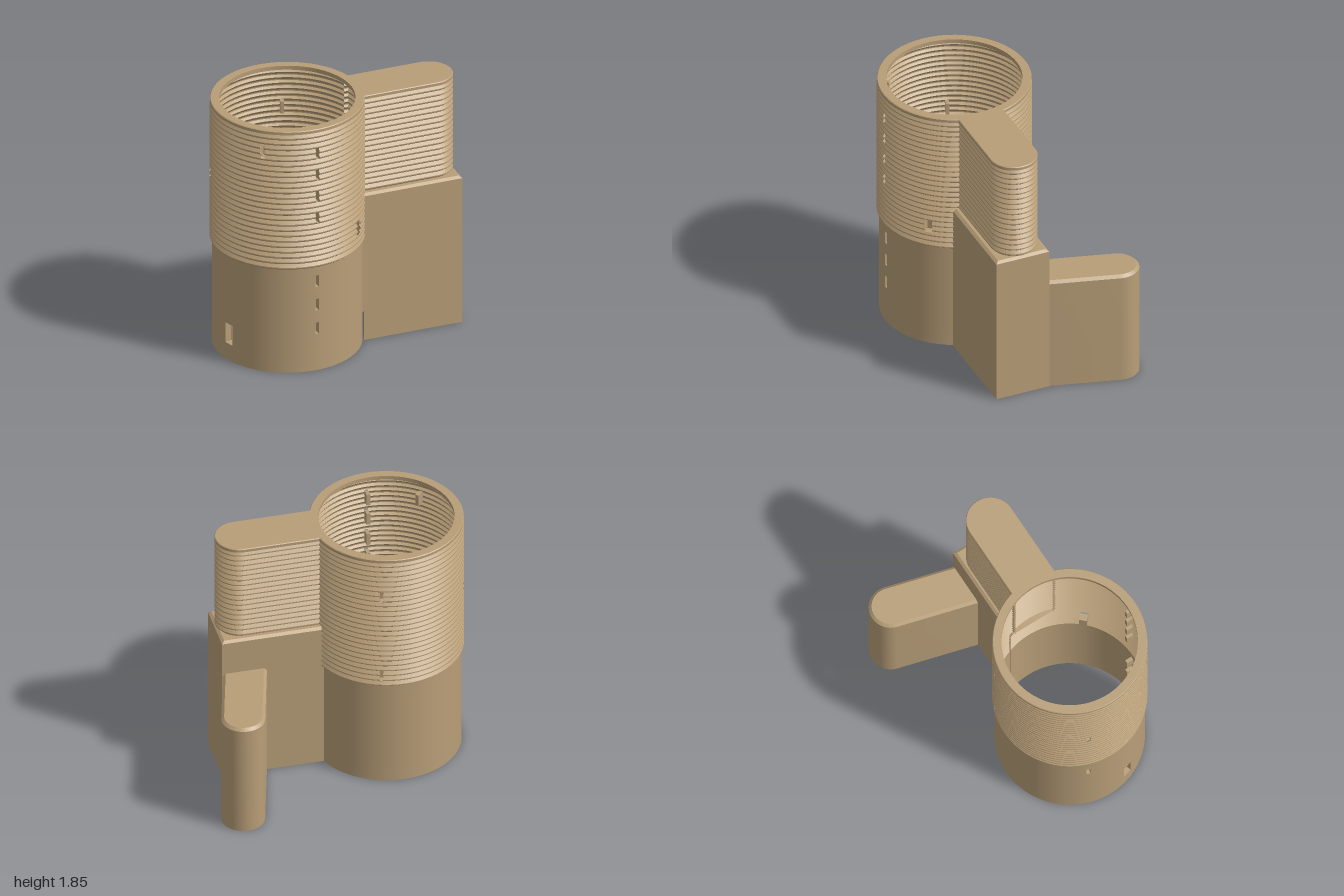
import * as THREE from 'three';
import { toCreasedNormals } from 'three/addons/utils/BufferGeometryUtils.js';

const tan = new THREE.MeshStandardMaterial({ color: 0xb89e78, side: THREE.DoubleSide });
tan.name = 'sandstone';

const CX = -0.475; // tower axis
const RIB_START = 0.79, RIB_END = 1.82, RIBS = 25;
const PITCH = (RIB_END - RIB_START) / RIBS;

// rib bulge across one pitch, 0 to 1
const ribShape = (t) => (t < 0.3 ? t / 0.3 : t < 0.5 ? 1 : (1 - t) / 0.5);
const ribOut = (y) => {
  if (y <= RIB_START || y >= RIB_END) return 0;
  const t = (y - RIB_START) / PITCH;
  return 0.016 * ribShape(t - Math.floor(t));
};
const ribLevels = () => {
  const ys = [];
  for (let i = 0; i < RIBS; i++) for (const t of [0, 0.3, 0.5]) ys.push(RIB_START + (i + t) * PITCH);
  return ys;
};

// skin between successive rings of points; keep() may leave cells open
function loft(rings, keep = () => true) {
  const pos = [];
  for (let i = 0; i < rings.length - 1; i++) {
    for (let j = 0; j < rings[i].length - 1; j++) {
      if (!keep(i, j)) continue;
      const [a, b, c, d] = [rings[i][j], rings[i][j + 1], rings[i + 1][j + 1], rings[i + 1][j]];
      for (const p of [a, d, b, b, d, c]) pos.push(p.x, p.y, p.z);
    }
  }
  const g = new THREE.BufferGeometry();
  g.setAttribute('position', new THREE.Float32BufferAttribute(pos, 3));
  return toCreasedNormals(g, 0.5);
}

function add(parent, geometry, name) {
  const mesh = new THREE.Mesh(geometry, tan);
  mesh.name = name;
  parent.add(mesh);
  return mesh;
}

// openings: azimuth from +x towards +z in degrees, centre height, width, height
const openings = [];
for (const y of [1.66, 1.5, 1.33, 1.17, 0.68, 0.5, 0.32]) openings.push([104, y, 0.026, 0.09]);
for (const y of [1.53, 0.87]) openings.push([303, y, 0.026, 0.09]);
for (const y of [1.28, 0.62]) openings.push([213.5, y, 0.026, 0.09]);
openings.push([146, 1.68, 0.026, 0.09], [59, 0.955, 0.055, 0.11], [178, 0.2, 0.07, 0.15]);

function buildTower(parent) {
  const holes = openings.map(([deg, y, w, h]) => {
    const a = THREE.MathUtils.degToRad(deg), half = w / 2 / 0.515;
    return { a0: a - half, a1: a + half, y0: y - h / 2, y1: y + h / 2 };
  });
  const sorted = (list) => [...new Set(list)].sort((a, b) => a - b);
  const angles = sorted([
    ...Array.from({ length: 73 }, (_, i) => (i / 72) * Math.PI * 2),
    ...holes.flatMap((o) => [o.a0, o.a1]),
  ]);
  const levels = sorted([0, ...ribLevels(), RIB_END, ...holes.flatMap((o) => [o.y0, o.y1])]);
  const ring = (r, y) => angles.map((a) => new THREE.Vector3(CX + r * Math.cos(a), y, r * Math.sin(a)));
  const inHole = (i, j) => {
    const y = (levels[i] + levels[i + 1]) / 2, a = (angles[j] + angles[j + 1]) / 2;
    return holes.some((o) => a > o.a0 && a < o.a1 && y > o.y0 && y < o.y1);
  };
  add(parent, loft(levels.map((y) => ring(0.514 + ribOut(y), y)), (i, j) => !inHole(i, j)), 'towerWall');

  // rim around the open top
  const rim = [[0.514, 1.82], [0.528, 1.825], [0.528, 1.845], [0.523, 1.85], [0.465, 1.85], [0.465, 1.82], [0.514, 1.82]];
  add(parent, loft(rim.map(([r, y]) => ring(r, y))), 'towerRim');

  // recessed niches behind the openings, open to the outside
  const depth = 0.05;
  openings.forEach(([deg, y, w, h]) => {
    const g = new THREE.BoxGeometry(w, h, depth);
    const idx = Array.from(g.index.array);
    idx.splice(24, 6);
    g.setIndex(idx);
    g.clearGroups();
    const a = THREE.MathUtils.degToRad(deg), r = 0.514 - depth / 2;
    const niche = add(parent, g, 'windowNiche');
    niche.position.set(CX + r * Math.cos(a), y, r * Math.sin(a));
    niche.rotation.y = Math.PI / 2 - a;
  });
}

// open-ended plan outline running from a to b, with a round or square far end
function outline(a, b, half, round, grow, y) {
  const u = b.clone().sub(a).normalize(), v = new THREE.Vector2(-u.y, u.x);
  const at = (p, s, t) => new THREE.Vector3(p.x + u.x * s + v.x * t, y, p.y + u.y * s + v.y * t);
  const r = half + grow, pts = [at(a, 0, r)];
  if (round) {
    for (let i = 0; i <= 20; i++) {
      const t = (i / 20) * Math.PI;
      pts.push(at(b, r * Math.sin(t), r * Math.cos(t)));
    }
  } else pts.push(at(b, grow, r), at(b, grow, -r));
  pts.push(at(a, 0, -r));
  return pts;
}

// wall following the outline through [grow, y] levels, closed by a flat roof
function buildWing(parent, name, a, b, half, round, profile) {
  const group = new THREE.Group();
  group.name = name;
  const rings = profile.map(([grow, y]) => outline(a, b, half, round, grow, y));
  add(group, loft(rings), name + 'Wall');
  const top = rings[rings.length - 1];
  const roof = new THREE.ShapeGeometry(new THREE.Shape(top.map((p) => new THREE.Vector2(p.x, p.z))));
  roof.rotateX(Math.PI / 2);
  roof.translate(0, top[0].y, 0);
  add(group, roof, name + 'Roof');
  parent.add(group);
}

export function createModel() {
  const model = new THREE.Group();
  model.name = 'tower';
  buildTower(model);

  // plan position along and across the slanted annex
  const annex = (u, v) => new THREE.Vector2(0.966 * u - 0.26 * v, 0.26 * u + 0.966 * v);

  buildWing(model, 'annexBase', annex(0.015, 0.147), annex(0.74, 0.147), 0.197, false,
    [[0, 0], [0, 1.1], [-0.02, 1.115]]);

  const ribbed = ribLevels().filter((y) => y > 1.1).map((y) => [ribOut(y) - 0.014, y]);
  buildWing(model, 'ribbedAnnex', annex(0.015, 0.145), annex(0.572, 0.145), 0.165, true,
    [[-0.014, 1.09], ...ribbed, [-0.014, 1.82], [0.003, 1.825], [0.003, 1.845], [-0.002, 1.85]]);

  const tip = new THREE.Vector2(0.845, -0.36);
  buildWing(model, 'lowWing', new THREE.Vector2(tip.x - 0.506 * 0.6, tip.y + 0.862 * 0.6), tip, 0.15, true,
    [[0, 0], [0, 0.83], [-0.02, 0.85]]);

  return model;
}
